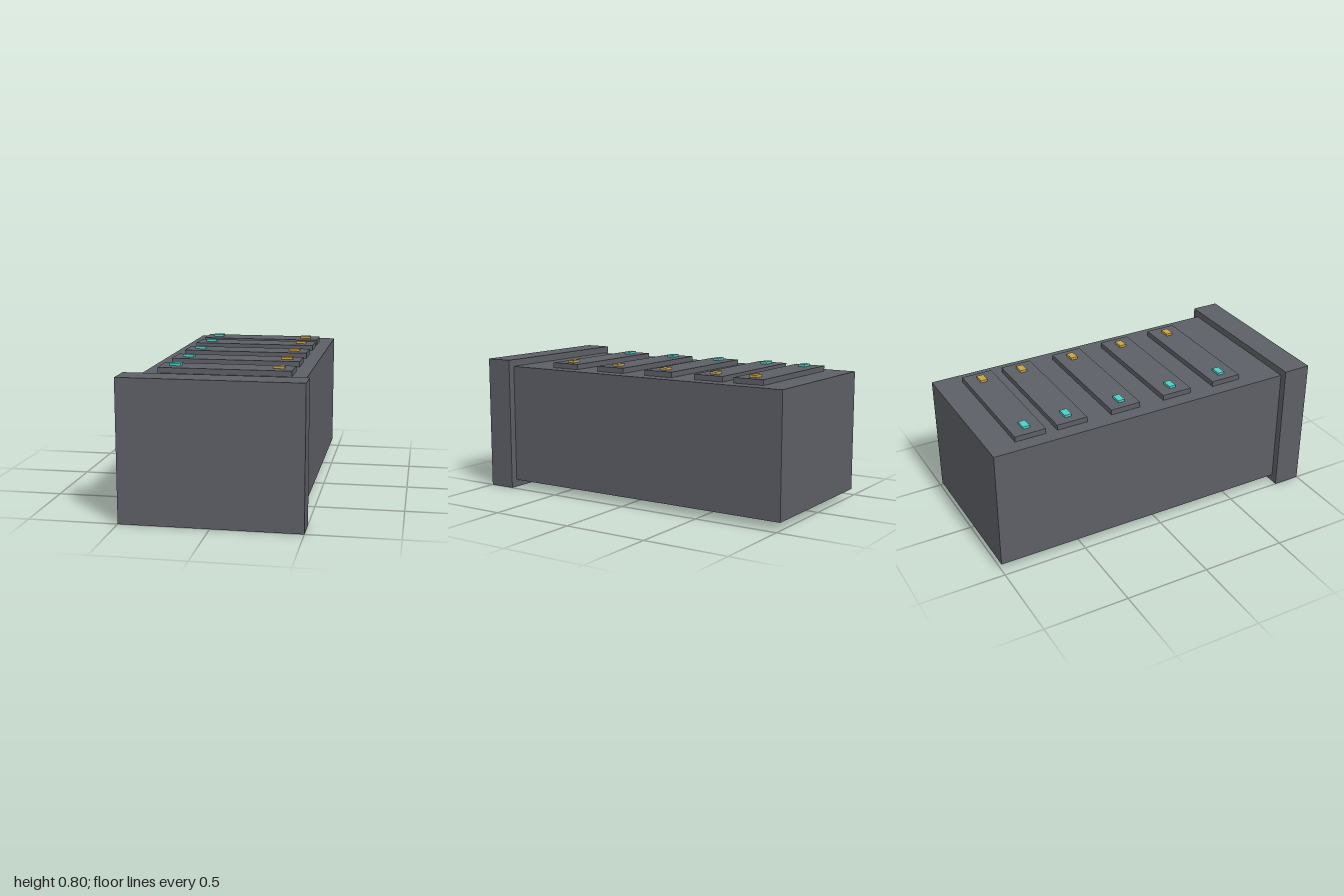
import * as THREE from 'three';

export function createModel() {
  const model = new THREE.Group();
  model.name = 'housing';

  const mat = (name, color) => {
    const m = new THREE.MeshStandardMaterial({ color });
    m.name = name;
    return m;
  };
  const grey = mat('slate grey', 0x5c5f66);
  const teal = mat('teal', 0x4ecdc4);
  const amber = mat('amber', 0xc9a24a);

  // Box given by its size, centre x/z and bottom y
  const box = (parent, name, material, [w, h, d], [x, y, z]) => {
    const mesh = new THREE.Mesh(new THREE.BoxGeometry(w, h, d), material);
    mesh.name = name;
    mesh.position.set(x, y + h / 2, z);
    parent.add(mesh);
  };

  // Long body and the wider flange at the front
  box(model, 'body', grey, [0.916, 0.708, 1.837], [0, 0.044, -0.0815]);
  box(model, 'frontFlange', grey, [1, 0.793, 0.163], [0, 0, 0.9185]);

  // Row of raised plates, each with a light at both ends
  [0.5, 0.167, -0.167, -0.5, -0.75].forEach((z, i) => {
    const panel = new THREE.Group();
    panel.name = `topPanel${i + 1}`;
    panel.position.z = z;
    box(panel, 'plate', grey, [0.75, 0.031, 0.183], [0, 0.752, 0]);
    box(panel, 'leftLight', amber, [0.065, 0.014, 0.041], [0.292, 0.783, 0]);
    box(panel, 'rightLight', teal, [0.065, 0.014, 0.041], [-0.292, 0.783, 0]);
    model.add(panel);
  });

  return model;
}
